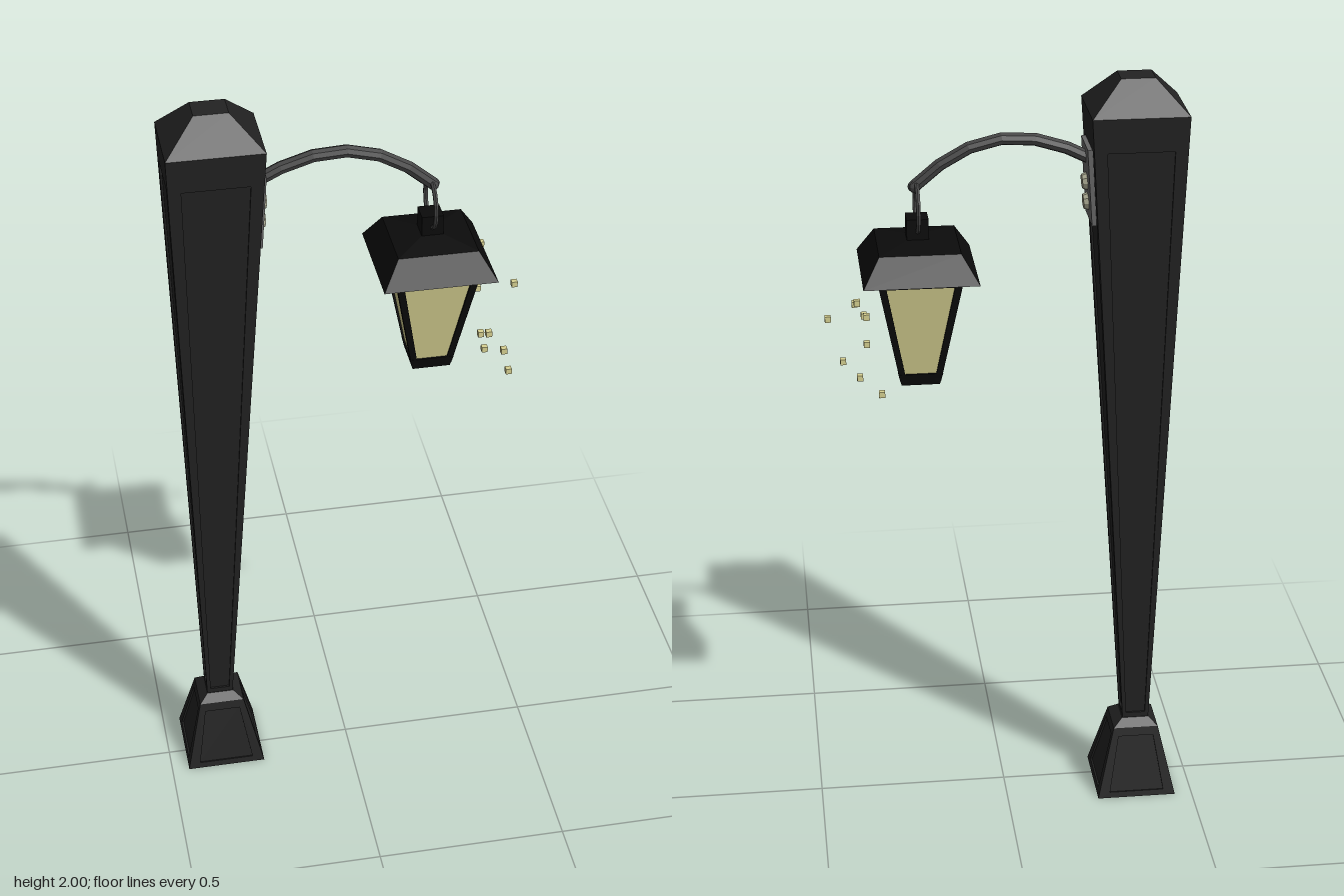
import * as THREE from 'three';

const Z = -0.028; // depth of the common centre line
const LX = 0.217; // x of the lantern axis

const mat = (color) => new THREE.MeshStandardMaterial({ color, flatShading: true });
const iron = mat(0x222222), steel = mat(0x444444), plateGrey = mat(0x666666);
const black = mat(0x0b0b0b), glow = mat(0xd8d292), bolt = mat(0xa8a890);

// corners of a level rectangle, counter-clockwise from above: [y, cx, cz, hx, hz]
const ring = ([y, cx, cz, hx, hz = hx]) =>
  [[-1, 1], [1, 1], [1, -1], [-1, -1]].map(([a, b]) => new THREE.Vector3(cx + a * hx, y, cz + b * hz));

function quadGeometry(quads) {
  const pts = quads.flatMap(([a, b, c, d]) => [a, b, c, a, c, d]);
  const g = new THREE.BufferGeometry().setFromPoints(pts);
  g.computeVertexNormals();
  return g;
}

// side quad divided into a frame and a sunken panel; m = [side, bottom, top] margins
function panelQuads([a, b, c, d], [s, lo, hi], depth) {
  const at = (u, v) => a.clone().lerp(b, u).lerp(d.clone().lerp(c, u), v);
  const n = b.clone().sub(a).cross(d.clone().sub(a)).normalize().multiplyScalar(-depth);
  const outer = [a, b, c, d];
  const inner = [at(s, lo), at(1 - s, lo), at(1 - s, 1 - hi), at(s, 1 - hi)];
  const sunk = inner.map((p) => p.clone().add(n));
  const quads = [sunk];
  for (let i = 0; i < 4; i++) {
    const j = (i + 1) % 4;
    quads.push([outer[i], outer[j], inner[j], inner[i]], [inner[i], inner[j], sunk[j], sunk[i]]);
  }
  return quads;
}

// square-section loft through level rectangles; the first stage may have panels
function loft(sections, panel) {
  const rings = sections.map(ring);
  const quads = [[...rings[0]].reverse(), rings[rings.length - 1]];
  for (let k = 0; k + 1 < rings.length; k++) {
    for (let i = 0; i < 4; i++) {
      const j = (i + 1) % 4;
      const q = [rings[k][i], rings[k][j], rings[k + 1][j], rings[k + 1][i]];
      quads.push(...(panel && k === 0 ? panelQuads(q, panel, 0.005) : [q]));
    }
  }
  return quadGeometry(quads);
}

export function createModel() {
  const root = new THREE.Group();
  const add = (name, geometry, material, parent = root) => {
    const m = new THREE.Mesh(geometry, material);
    m.name = name;
    parent.add(m);
    return m;
  };

  // Post: flared foot and a leaning shaft that widens upward to a hipped cap
  add('foot', loft([
    [0, -0.349, Z, 0.105], [0.19, -0.35, Z, 0.06, 0.056], [0.21, -0.351, Z, 0.036],
  ], [0.14, 0.08, 0.12]), iron);
  add('post', loft([
    [0.19, -0.352, Z, 0.034], [1.92, -0.318, Z, 0.119, 0.099], [2, -0.318, Z, 0.042, 0.034],
  ], [0.14, 0.02, 0.05]), iron);

  // Wall bracket on the leaning side face
  const bracket = new THREE.Group();
  bracket.name = 'bracket';
  bracket.position.set(-0.209, 1.735, Z);
  bracket.rotation.z = -0.069;
  root.add(bracket);
  add('bracketPlate', new THREE.BoxGeometry(0.016, 0.195, 0.116), plateGrey, bracket);
  for (const y of [0, -0.052]) {
    const b = add('bolt', new THREE.CylinderGeometry(0.018, 0.023, 0.014, 10), bolt, bracket);
    b.rotation.z = -Math.PI / 2;
    b.position.set(0.013, y, 0);
  }

  // Curved arm with rounded tip
  const path = new THREE.CurvePath();
  const pts = [[-0.225, 1.785], [-0.15, 1.822], [-0.045, 1.85], [0.05, 1.843], [0.14, 1.803], [0.222, 1.737]]
    .map(([x, y]) => new THREE.Vector3(x, y, Z));
  for (let i = 0; i + 1 < pts.length; i++) path.add(new THREE.LineCurve3(pts[i], pts[i + 1]));
  const curve = new THREE.CatmullRomCurve3(pts);
  add('arm', new THREE.TubeGeometry(curve, 6, 0.016, 8), steel);
  add('armTip', new THREE.SphereGeometry(0.016, 8, 6), steel).position.copy(pts[pts.length - 1]);

  // Lantern
  const lantern = new THREE.Group();
  lantern.name = 'lantern';
  lantern.position.set(LX, 0, Z);
  root.add(lantern);
  const handle = add('hangingRing', new THREE.TorusGeometry(0.062, 0.006, 6, 16), steel, lantern);
  handle.rotation.y = Math.PI / 2;
  handle.position.y = 1.685;
  add('neck', loft([[1.59, 0, 0, 0.027], [1.66, 0, 0, 0.027]]), black, lantern);
  add('roof', loft([[1.526, 0, 0, 0.142], [1.595, 0, 0, 0.1], [1.608, 0, 0, 0.027]]), black, lantern);
  add('topRim', loft([[1.508, 0, 0, 0.1], [1.528, 0, 0, 0.104]]), black, lantern);
  add('glass', loft([[1.25, 0, 0, 0.049], [1.515, 0, 0, 0.096]]), glow, lantern);
  add('bottomRim', loft([[1.23, 0, 0, 0.048], [1.262, 0, 0, 0.056]]), black, lantern);
  for (const sx of [-1, 1]) for (const sz of [-1, 1]) {
    add('cornerBar', loft([
      [1.24, sx * 0.043, sz * 0.043, 0.008], [1.52, sx * 0.095, sz * 0.095, 0.009],
    ]), black, lantern);
  }

  // Drifting sparks beside the lantern
  const spark = new THREE.BoxGeometry(0.015, 0.015, 0.015);
  for (const [x, y, z] of [
    [0.374, 1.483, -0.137], [0.443, 1.409, -0.052], [0.347, 1.409, -0.05],
    [0.366, 1.358, 0.162], [0.347, 1.358, 0.082], [0.345, 1.31, 0.01],
    [0.403, 1.236, 0.078], [0.366, 1.236, -0.028], [0.318, 1.236, -0.135],
  ]) add('spark', spark, glow).position.set(x, y, z);

  return root;
}
